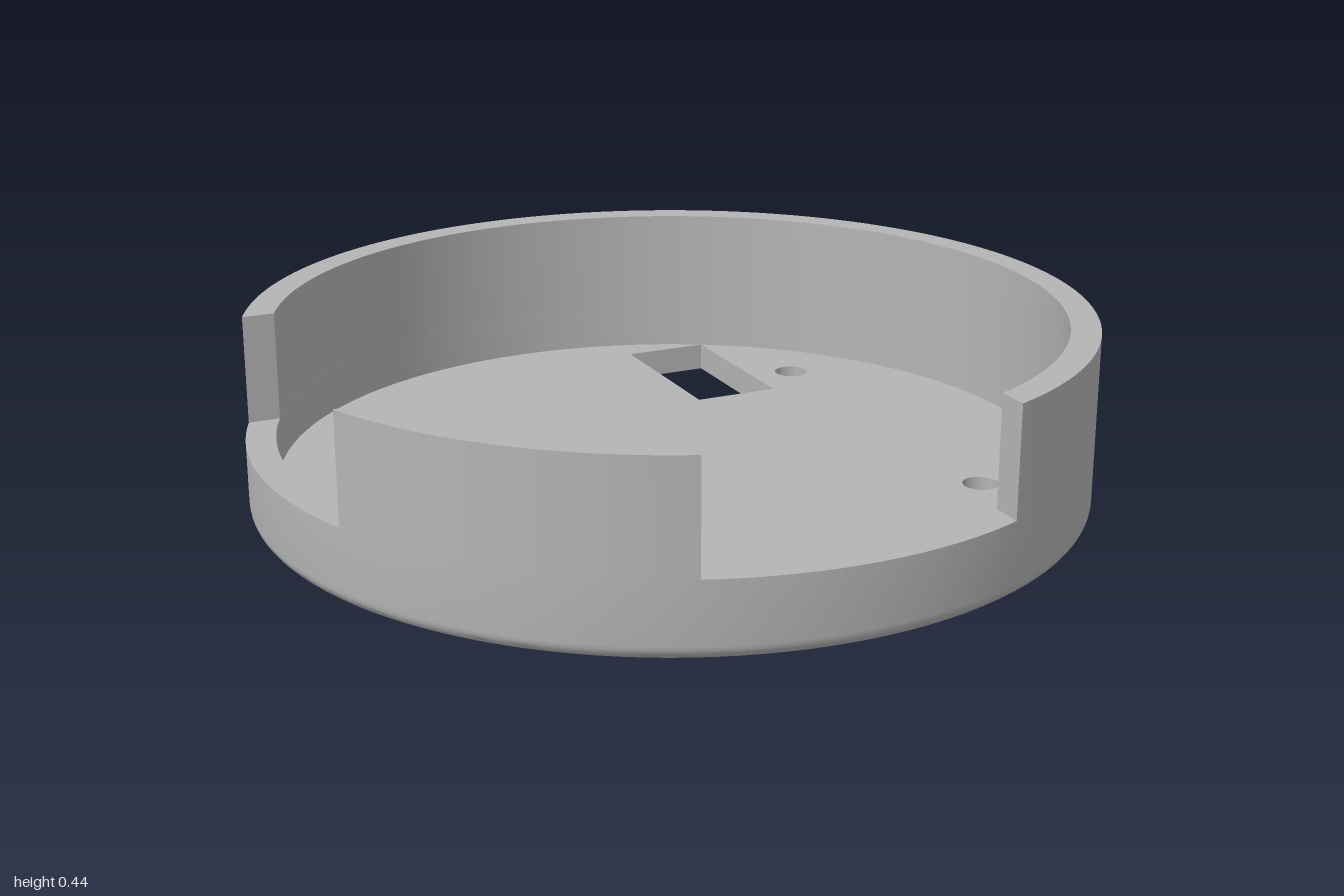
import * as THREE from 'three';
import { toCreasedNormals } from 'three/addons/utils/BufferGeometryUtils.js';

const OUTER = 1, INNER = 0.93, FLOOR = 0.07, LEDGE = 0.18, TOP = 0.44;
const FILLET = 0.035, NOTCH = 0.367; // half width of each wall notch

export function createModel() {
  const group = new THREE.Group();
  const grey = new THREE.MeshStandardMaterial({ color: 0xb5b5b5 });
  grey.name = 'grey plastic';

  const add = (name, geometry) => {
    const mesh = new THREE.Mesh(toCreasedNormals(geometry, 0.55), grey);
    mesh.name = name;
    group.add(mesh);
  };
  // plan outline (x, -z) raised from y0 to y1
  const raise = (shape, y0, y1, curveSegments) =>
    new THREE.ExtrudeGeometry(shape, { depth: y1 - y0, bevelEnabled: false, curveSegments })
      .rotateX(-Math.PI / 2).translate(0, y0, 0);

  // Floor with four screw holes and a rectangular cable opening
  const floor = new THREE.Shape().absarc(0, 0, OUTER - FILLET, 0, Math.PI * 2);
  for (const [x, z] of [[-0.585, -0.478], [0.583, -0.478], [-0.583, 0.468], [0.583, 0.465]]) {
    floor.holes.push(new THREE.Path().absarc(x, -z, 0.043, 0, Math.PI * 2, true));
  }
  floor.holes.push(new THREE.Path([[0.253, 0.365], [0.253, 0.803], [0.47, 0.803], [0.47, 0.365]]
    .map(([x, y]) => new THREE.Vector2(x, y))));
  add('floor', raise(floor, 0, FLOOR, 64));

  // Full lower ring with a rounded bottom edge
  const profile = [];
  for (let i = 0; i <= 6; i++) {
    const a = (i / 6) * Math.PI / 2;
    profile.push(new THREE.Vector2(OUTER - FILLET + FILLET * Math.sin(a), FILLET * (1 - Math.cos(a))));
  }
  profile.push(new THREE.Vector2(OUTER, LEDGE), new THREE.Vector2(INNER, LEDGE), new THREE.Vector2(INNER, FLOOR));
  add('lowerRing', new THREE.LatheGeometry(profile, 128));

  // Upper wall pieces between the straight-cut front and right notches
  const outerCut = Math.asin(NOTCH / OUTER), innerCut = Math.asin(NOTCH / INNER);
  const wall = (name, from, to) => {
    const shape = new THREE.Shape()
      .absarc(0, 0, OUTER, from + outerCut, to - outerCut, false)
      .absarc(0, 0, INNER, to - innerCut, from + innerCut, true);
    shape.closePath();
    add(name, raise(shape, LEDGE, TOP, 96));
  };
  wall('longWall', -Math.PI / 2, Math.PI);
  wall('shortWall', Math.PI, Math.PI * 1.5);

  return group;
}
